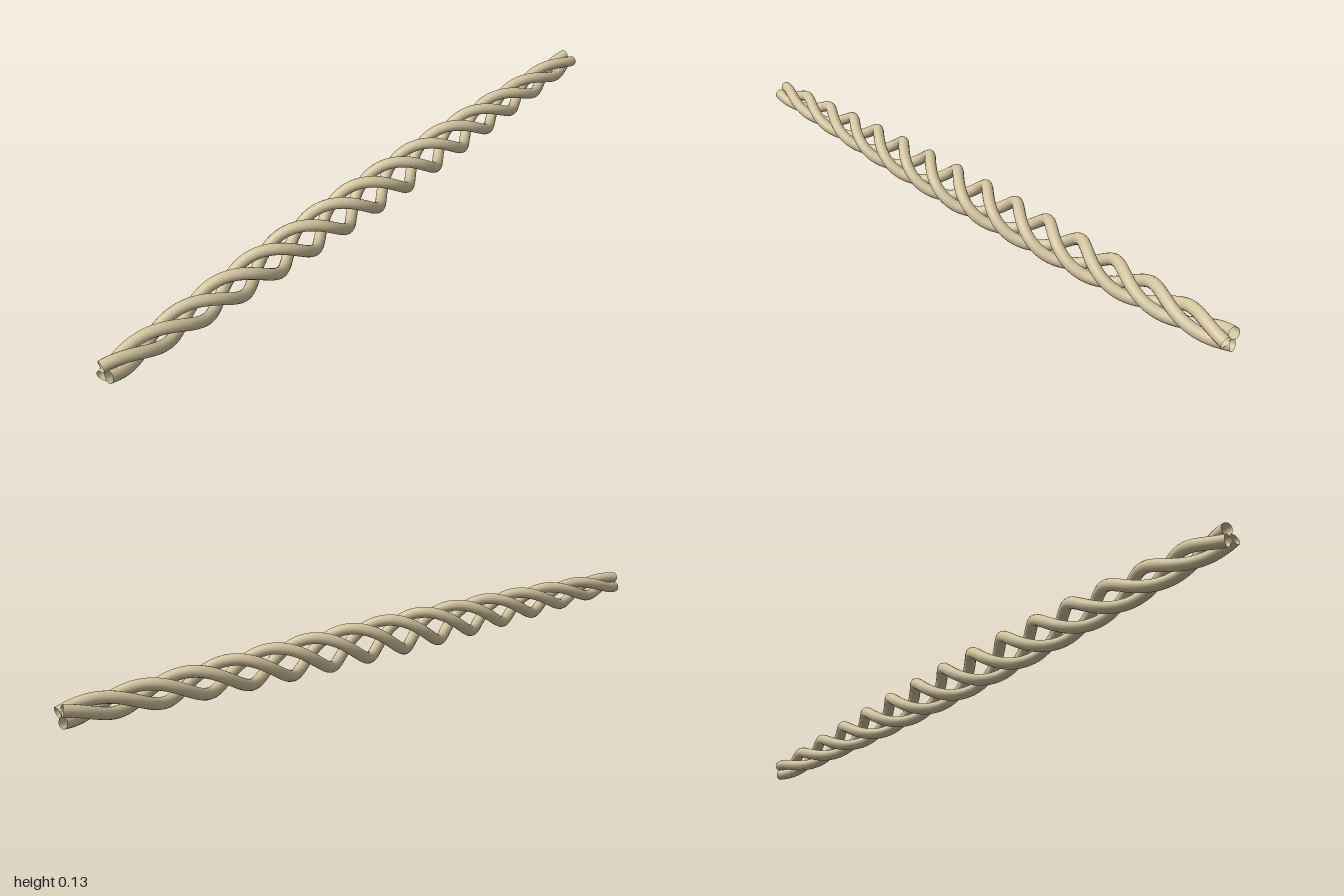
import * as THREE from 'three';

const STRANDS = 3;
const TURNS = 5;
const HALF = 0.996;        // half length of the strand centre lines
const STRAND_R = 0.0165;   // thickness of one strand
const END_R = 0.0185;      // helix radius at the tight ends
const BULGE = 0.029;       // extra helix radius at the middle
const AXIS_Y = 0.064;

// Helix along x that swells towards the middle
class StrandCurve extends THREE.Curve {
  constructor(phase) {
    super();
    this.phase = phase;
  }
  getPoint(t, target = new THREE.Vector3()) {
    const x = (2 * t - 1) * HALF;
    const angle = TURNS * Math.PI * x + this.phase;
    const radius = END_R + BULGE * Math.sin(Math.PI * t);
    return target.set(x, AXIS_Y + radius * Math.cos(angle), radius * Math.sin(angle));
  }
}

export function createModel() {
  const group = new THREE.Group();
  group.name = 'twistedRope';
  const material = new THREE.MeshStandardMaterial({ color: 0xd4c5a0, side: THREE.DoubleSide });

  // Three identical open-ended strands, a third of a turn apart
  for (let i = 0; i < STRANDS; i++) {
    const curve = new StrandCurve(Math.PI / 6 + (i * 2 * Math.PI) / STRANDS);
    const strand = new THREE.Mesh(new THREE.TubeGeometry(curve, 240, STRAND_R, 16, false), material);
    strand.name = `strand${i + 1}`;
    group.add(strand);
  }
  return group;
}
